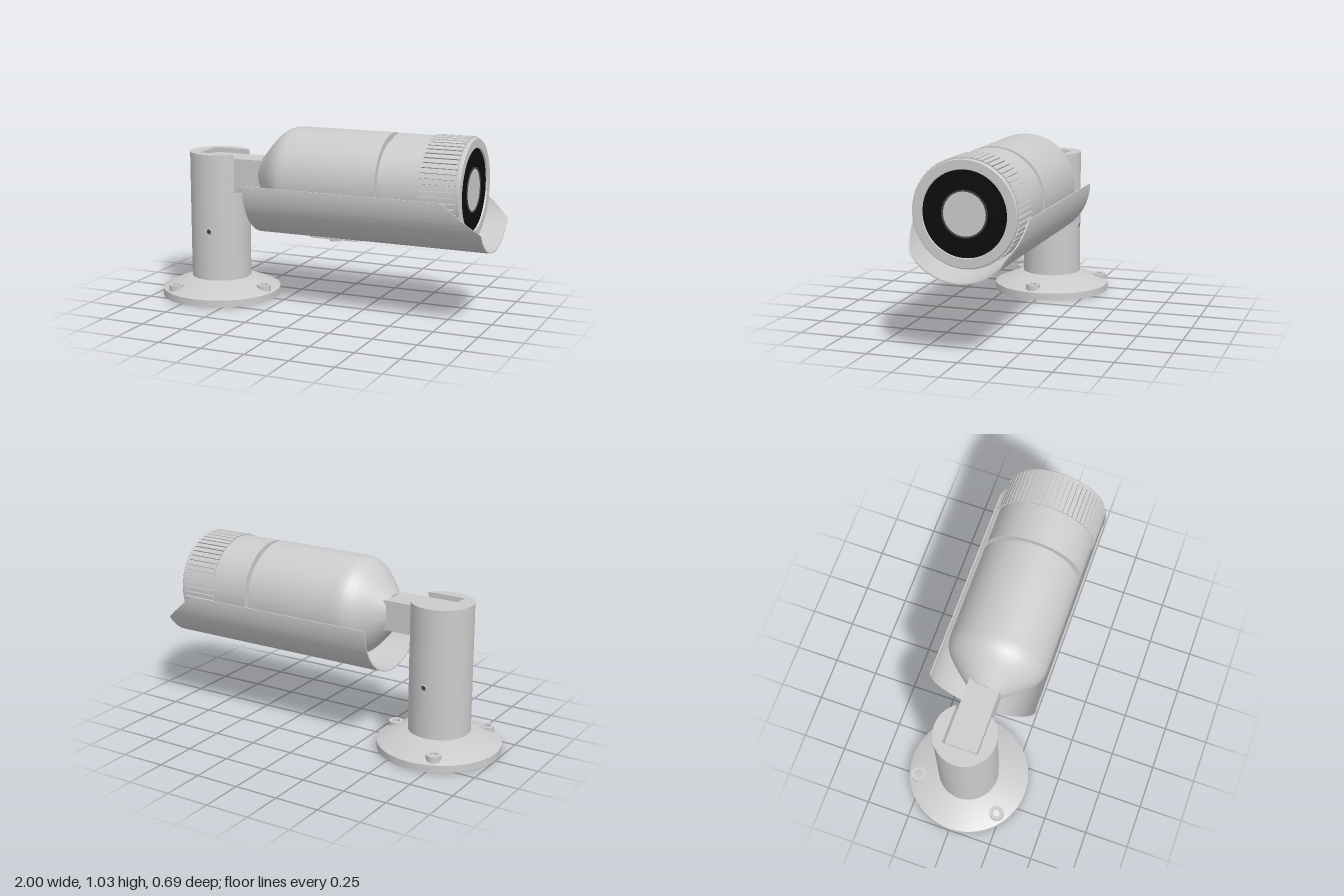
import * as THREE from 'three';
import { toCreasedNormals } from 'three/addons/utils/BufferGeometryUtils.js';

const grey = new THREE.MeshStandardMaterial({ color: 0xcccccc });
const black = new THREE.MeshStandardMaterial({ color: 0x0c0c0c });
const dark = new THREE.MeshStandardMaterial({ color: 0x444444 });

const POST_X = -0.655; // mount axis
const AXIS_Y = 0.738; // camera axis

export function createModel() {
  const model = new THREE.Group();

  const add = (parent, name, geometry, material = grey, x = 0, y = 0, z = 0) => {
    const mesh = new THREE.Mesh(geometry, material);
    mesh.name = name;
    mesh.position.set(x, y, z);
    parent.add(mesh);
    return mesh;
  };
  const lathe = (points, segments = 64) =>
    toCreasedNormals(new THREE.LatheGeometry(points.map(p => new THREE.Vector2(...p)), segments), 0.5);
  const latheX = (points, segments) => lathe(points, segments).rotateZ(-Math.PI / 2);
  const extrude = (shape, depth, curveSegments = 48) =>
    new THREE.ExtrudeGeometry(shape, { depth, curveSegments, bevelEnabled: false });

  // ---- Mount ----
  const mount = new THREE.Group();
  mount.name = 'mount';
  mount.position.x = POST_X;
  model.add(mount);

  // Hollow conical foot
  add(mount, 'baseFlange', lathe([
    [0.33, 0], [0.345, 0.004], [0.345, 0.045], [0.173, 0.116], [0.16, 0.116],
    [0.16, 0.085], [0.33, 0.03], [0.33, 0],
  ]));

  // Tubular lower post
  add(mount, 'postTube', lathe([
    [0.16, 0.085], [0.173, 0.085], [0.173, 0.62], [0.16, 0.62], [0.16, 0.085],
  ]));

  // Slotted post head, open towards the camera
  const a = Math.asin(0.1 / 0.173);
  const head = new THREE.Shape();
  head.absarc(0, 0, 0.173, a, 2 * Math.PI - a, false);
  head.lineTo(-0.08, -0.1);
  head.lineTo(-0.08, 0.1);
  head.closePath();
  add(mount, 'postHead', toCreasedNormals(extrude(head, 0.23).rotateX(-Math.PI / 2), 0.5), grey, 0, 0.62, 0);

  // Screw bosses around the foot, with a sunken hole each
  for (let i = 0; i < 3; i++) {
    const t = THREE.MathUtils.degToRad(6 + 121 * i);
    add(mount, 'screwBoss', lathe([
      [0.018, 0.012], [0.042, 0.012], [0.042, 0.086], [0.022, 0.086], [0.022, 0.07],
      [0.018, 0.07], [0.018, 0.012],
    ], 24), grey, 0.291 * Math.cos(t), 0, 0.291 * Math.sin(t));
  }

  // Set screws on both sides of the post
  for (const side of [-1, 1]) {
    const screw = add(mount, 'setScrew', new THREE.TorusGeometry(0.016, 0.004, 8, 24), grey, 0.012, 0.405, side * 0.172);
    const core = new THREE.CylinderGeometry(0.013, 0.013, 0.006, 20).rotateX(Math.PI / 2);
    add(screw, 'setScrewCore', core, dark);
  }

  // Square arm in the slot
  add(model, 'arm', new THREE.BoxGeometry(0.4, 0.17, 0.178), grey, -0.525, 0.74, 0);

  // ---- Camera ----
  const camera = new THREE.Group();
  camera.name = 'camera';
  camera.position.y = AXIS_Y;
  model.add(camera);

  // Housing with shoulder, seam groove and recessed face
  add(camera, 'housing', latheX([
    [0, -0.36], [0.1, -0.36], [0.185, -0.287], [0.222, -0.252], [0.25, -0.222], [0.268, -0.193],
    [0.278, -0.165], [0.282, -0.13], [0.282, 0.415], [0.245, 0.415], [0.245, 0.447], [0.28, 0.447],
    [0.28, 0.668], [0.27, 0.668], [0.27, 0.862], [0.28, 0.862], [0.28, 0.882], [0.276, 0.887],
    [0.228, 0.887], [0.224, 0.872], [0, 0.872],
  ]));

  // Ribbed grip ring
  const teeth = 60, step = 2 * Math.PI / teeth;
  const gear = new THREE.Shape();
  for (let i = 0; i < teeth; i++) {
    for (const [f, r] of [[0, 0.288], [0.4, 0.288], [0.78, 0.288], [0.8, 0.279], [0.98, 0.279]]) {
      const t = (i + f) * step, x = r * Math.cos(t), y = r * Math.sin(t);
      if (i + f === 0) gear.moveTo(x, y); else gear.lineTo(x, y);
    }
  }
  gear.closePath();
  const hole = new THREE.Path();
  hole.absarc(0, 0, 0.265, 0, 2 * Math.PI, true);
  gear.holes.push(hole);
  add(camera, 'gripRing', toCreasedNormals(extrude(gear, 0.2).rotateY(Math.PI / 2), 0.5), grey, 0.665);

  // Front glass, lens rim and lens
  add(camera, 'frontGlass', latheX([[0.12, 0.87], [0.226, 0.87], [0.226, 0.878], [0.12, 0.878]]), black);
  add(camera, 'lensRim', latheX([[0.124, 0.87], [0.124, 0.882], [0.115, 0.882], [0.115, 0.87]], 48), dark);
  add(camera, 'lens', latheX([[0, 0.87], [0.115, 0.87], [0.115, 0.878], [0, 0.878]], 48));

  // ---- Shield: half tube whose front corners are cut at a slant ----
  const shield = new THREE.Group();
  shield.name = 'shield';
  model.add(shield);
  const R = 0.31, T = 0.007, SHIELD_Y = 0.714;
  const arc = new THREE.Shape();
  arc.absarc(0, 0, R, Math.PI, 2 * Math.PI, false);
  arc.absarc(0, 0, R - T, 2 * Math.PI, Math.PI, true);
  arc.closePath();
  const shell = extrude(arc, 1.36, 64).rotateY(Math.PI / 2).translate(-0.36, SHIELD_Y, -0.008);
  const pos = shell.attributes.position;
  for (let i = 0; i < pos.count; i++) {
    const slant = 1 - Math.max(0, pos.getY(i) - 0.545) * 1.2;
    pos.setX(i, Math.min(pos.getX(i), slant));
  }
  add(shield, 'shieldShell', toCreasedNormals(shell, 0.5));

  // Fixing pad, bolt and spacer under the camera
  const pad = new THREE.Shape([[-0.09, 0], [-0.04, 0.05], [0.22, 0.05], [0.27, 0], [0.22, -0.05], [-0.04, -0.05]]
    .map(p => new THREE.Vector2(...p)));
  add(shield, 'fixingPad', extrude(pad, 0.008).rotateX(-Math.PI / 2), grey, 0, 0.402, 0.01);
  add(shield, 'boltHead', new THREE.CylinderGeometry(0.033, 0.033, 0.016, 6), grey, 0.085, 0.397, 0.022);
  add(shield, 'boltShank', new THREE.CylinderGeometry(0.016, 0.016, 0.05, 20), grey, 0.085, 0.42, 0.022);
  add(shield, 'spacer', new THREE.CylinderGeometry(0.039, 0.039, 0.045, 24), grey, 0.085, 0.447, 0.028);

  return model;
}
